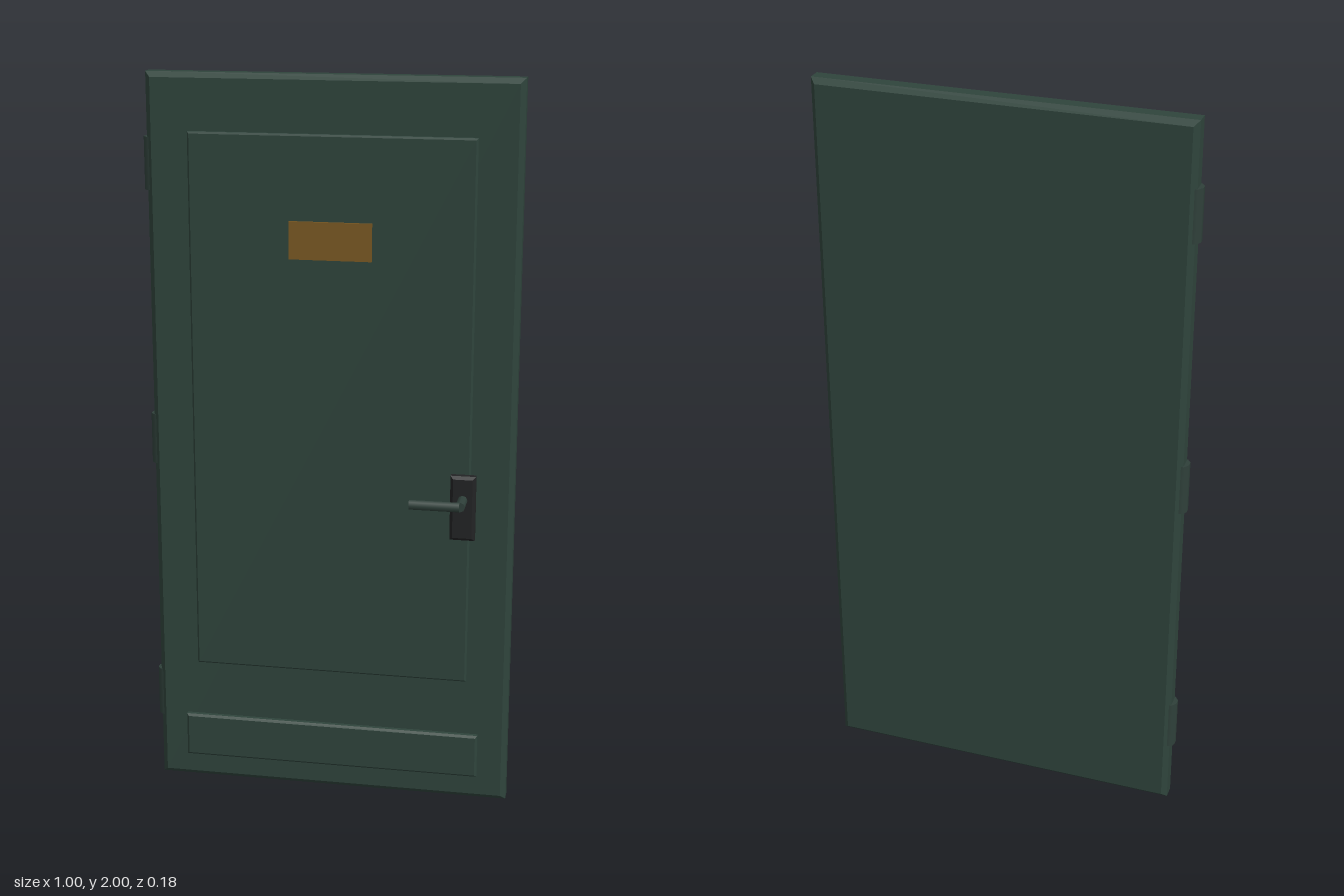
import * as THREE from 'three';

const mat = (name, color) => {
  const m = new THREE.MeshStandardMaterial({ color });
  m.name = name;
  return m;
};

export function createModel() {
  const door = new THREE.Group();
  door.name = 'door';
  const green = mat('dark green paint', 0x2f443c);
  const black = mat('black metal', 0x222324);
  const steel = mat('grey green steel', 0x2f403a);
  const brass = mat('aged brass', 0x7a5922);

  const add = (name, geometry, material, x = 0, y = 0, z = 0) => {
    const mesh = new THREE.Mesh(geometry, material);
    mesh.name = name;
    mesh.position.set(x, y, z);
    door.add(mesh);
    return mesh;
  };

  // Box with a single flat chamfer on all edges, given by its limits
  const chamferBox = (name, material, x0, x1, y0, y1, z0, z1, c) => {
    const s = new THREE.Shape();
    const a = x0 + c, b = x1 - c, d = y0 + c, e = y1 - c;
    s.moveTo(a, d).lineTo(b, d).lineTo(b, e).lineTo(a, e).closePath();
    const g = new THREE.ExtrudeGeometry(s, {
      depth: z1 - z0 - 2 * c, bevelEnabled: true,
      bevelThickness: c, bevelSize: c, bevelSegments: 1,
    });
    return add(name, g, material, 0, 0, z0 + c);
  };

  // Leaf with its raised panel and kick plate
  chamferBox('doorLeaf', green, -0.49, 0.5, 0, 2, -0.092, -0.028, 0.014);
  chamferBox('raisedPanel', green, -0.375, 0.385, 0.36, 1.85, -0.029, -0.01, 0.005);
  chamferBox('kickPlate', green, -0.41, 0.42, 0.075, 0.2, -0.029, -0.006, 0.006);

  // Blank sign plate
  add('signPlate', new THREE.BoxGeometry(0.22, 0.1, 0.008), brass, 0.005, 1.575, -0.007);

  // Lock plate and lever handle
  chamferBox('lockPlate', black, 0.333, 0.401, 0.78, 0.96, -0.016, 0.015, 0.008);
  const spindle = add('handleSpindle', new THREE.CylinderGeometry(0.0135, 0.0135, 0.065, 8), steel, 0.367, 0.895, 0.042);
  spindle.rotation.x = Math.PI / 2;
  const lever = add('handleLever', new THREE.CylinderGeometry(0.0135, 0.0135, 0.134, 8), steel, 0.299, 0.895, 0.075);
  lever.rotation.z = Math.PI / 2;

  // Three hinge barrels
  for (const y of [0.25, 1.005, 1.76]) {
    add('hinge', new THREE.CylinderGeometry(0.026, 0.026, 0.14, 10), steel, -0.477, y, -0.06);
  }
  return door;
}
